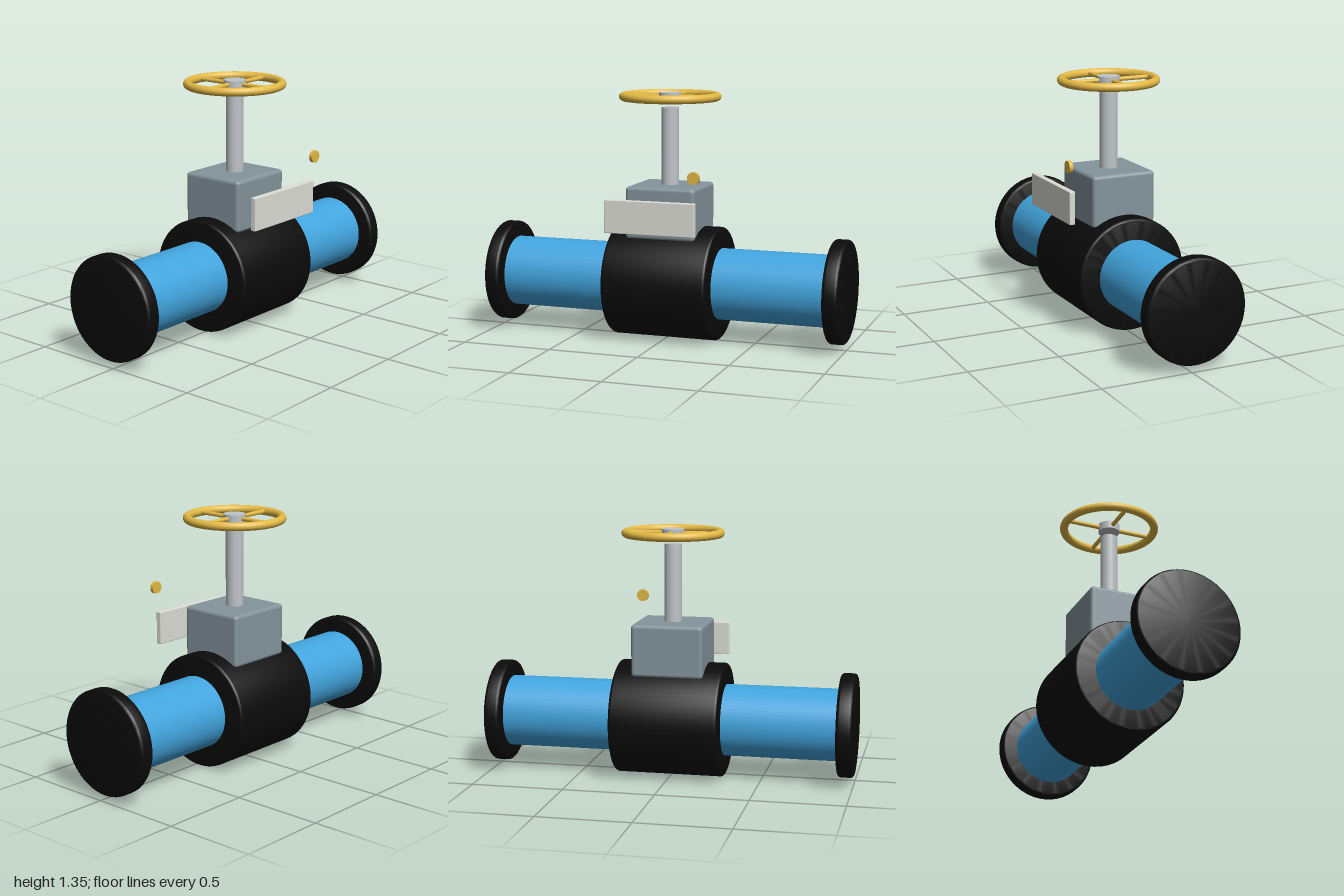
import * as THREE from 'three';
import { RoundedBoxGeometry } from 'three/addons/geometries/RoundedBoxGeometry.js';
import { toCreasedNormals } from 'three/addons/utils/BufferGeometryUtils.js';

const AXIS_Y = 0.313, AXIS_Z = -0.026, WHEEL_Y = 1.327;

const paint = (color) => new THREE.MeshStandardMaterial({ color });
const black = paint(0x0b0b0b);
const blue = paint(0x42a5de);
const slate = paint(0x84949c);
const steel = paint(0xbfc4c8);
const gold = paint(0xe3b945);
const ivory = paint(0xdcddd6);

export function createModel() {
  const model = new THREE.Group();
  model.name = 'gateValve';

  const add = (name, geometry, material, x = 0, y = 0, z = 0, parent = model) => {
    const mesh = new THREE.Mesh(geometry, material);
    mesh.name = name;
    mesh.position.set(x, y, z);
    parent.add(mesh);
    return mesh;
  };

  // Solid disc along y with rounded rims
  const roundedDisc = (radius, length, bevel) => {
    const h = length / 2, points = [new THREE.Vector2(0, -h)];
    for (const end of [-1, 1]) {
      for (let i = 0; i <= 5; i++) {
        const a = (end < 0 ? i - 5 : i) * Math.PI / 10;
        points.push(new THREE.Vector2(
          radius - bevel + bevel * Math.cos(a),
          end * (h - bevel) + bevel * Math.sin(a)));
      }
    }
    points.push(new THREE.Vector2(0, h));
    return toCreasedNormals(new THREE.LatheGeometry(points, 64), 0.6);
  };

  // Pipe run along x
  const run = new THREE.Group();
  run.name = 'pipeRun';
  run.position.set(0, AXIS_Y, AXIS_Z);
  run.rotation.z = -Math.PI / 2;
  model.add(run);
  add('pipe', new THREE.CylinderGeometry(0.195, 0.195, 1.85, 64), blue, 0, 0, 0, run);
  add('valveBody', roundedDisc(0.31, 0.59, 0.016), black, 0, 0, 0, run);
  for (const side of [-1, 1]) {
    add(side > 0 ? 'leftFlange' : 'rightFlange',
      roundedDisc(0.28, 0.085, 0.018), black, 0, side * 0.9575, 0, run);
  }

  // Bonnet and stem
  add('bonnet', new RoundedBoxGeometry(0.39, 0.285, 0.366, 4, 0.02), slate, 0, 0.706, AXIS_Z);
  add('stem', new THREE.CylinderGeometry(0.048, 0.048, 0.45, 40), steel, 0, 1.045, AXIS_Z);

  // Handwheel
  const wheel = new THREE.Group();
  wheel.name = 'handwheel';
  wheel.position.set(0, WHEEL_Y, AXIS_Z);
  model.add(wheel);
  add('wheelRim', new THREE.TorusGeometry(0.254, 0.023, 20, 80), gold, 0, 0, 0, wheel)
    .rotation.x = Math.PI / 2;
  add('wheelHub', new THREE.CylinderGeometry(0.06, 0.06, 0.044, 40), steel, 0, 0, 0, wheel);
  for (let i = 0; i < 4; i++) {
    const a = i * Math.PI / 2;
    const spoke = add('spoke', new THREE.CylinderGeometry(0.012, 0.012, 0.22, 12), gold,
      Math.cos(a) * 0.145, 0, -Math.sin(a) * 0.145, wheel);
    spoke.rotation.set(0, a, Math.PI / 2);
  }

  // Blank plate and indicator button in front
  add('namePlate', new RoundedBoxGeometry(0.505, 0.18, 0.032, 2, 0.005), ivory, 0, 0.708, 0.306);
  add('indicatorButton', new THREE.CylinderGeometry(0.033, 0.033, 0.02, 32), gold, 0.25, 0.933, 0.325)
    .rotation.x = Math.PI / 2;

  return model;
}
